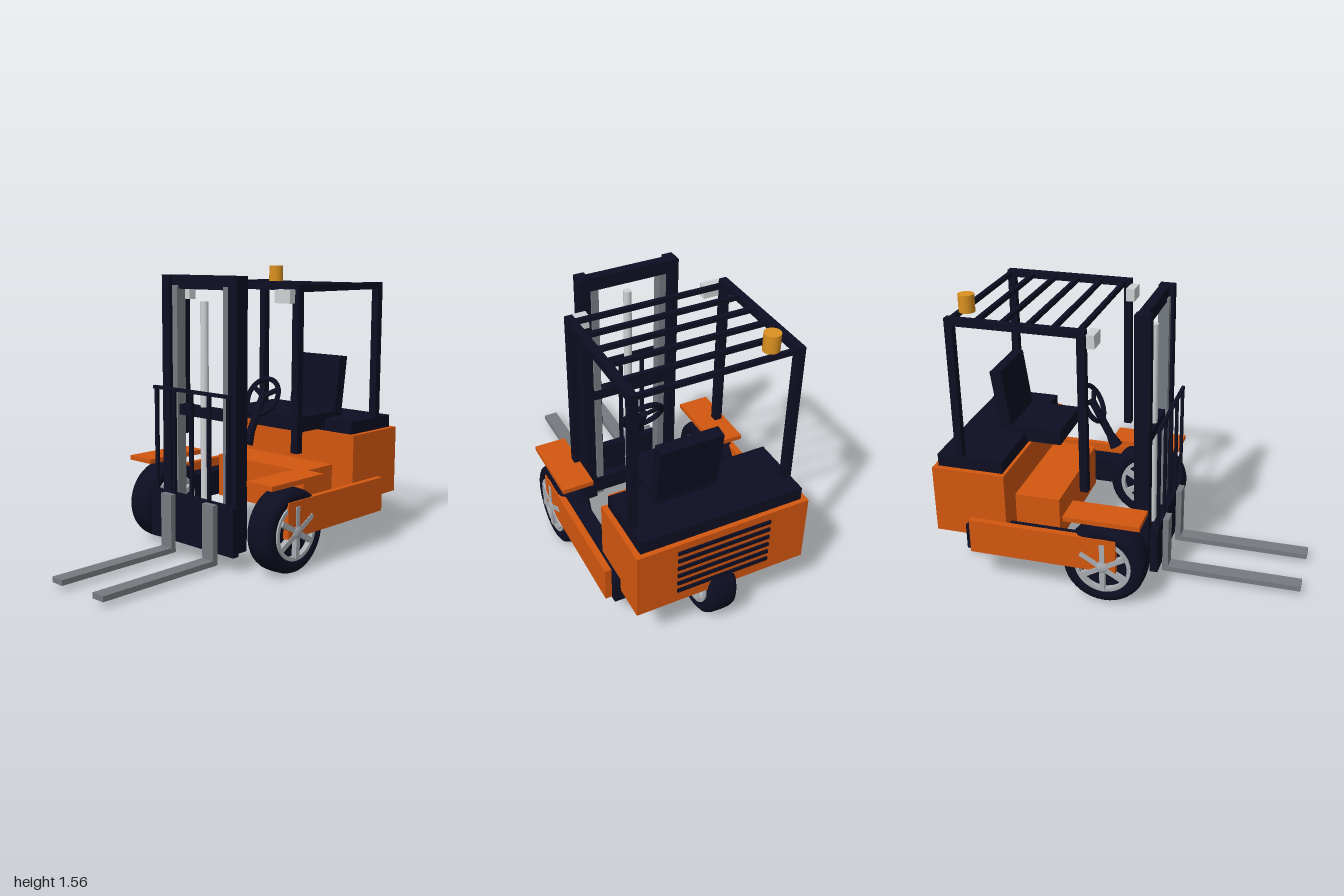
import * as THREE from 'three';
import { toCreasedNormals } from 'three/addons/utils/BufferGeometryUtils.js';

const mat = (name, color) => {
  const m = new THREE.MeshStandardMaterial({ color });
  m.name = name;
  return m;
};

export function createModel() {
  const model = new THREE.Group();
  model.name = 'forklift';
  const orange = mat('orange paint', 0xd4570f);
  const dark = mat('dark navy', 0x0e0e23);
  const steel = mat('fork steel', 0x767b80);
  const silver = mat('rim silver', 0xa9adb2);
  const pale = mat('pale grey', 0xcfd1d4);
  const amber = mat('amber', 0xdb9120);

  const add = (name, geo, material, parent = model) => {
    const m = new THREE.Mesh(geo, material);
    m.name = name;
    parent.add(m);
    return m;
  };
  // Box given by its minimum and maximum on each axis
  const box = (name, material, x0, x1, y0, y1, z0, z1, parent) => {
    const m = add(name, new THREE.BoxGeometry(x1 - x0, y1 - y0, z1 - z0), material, parent);
    m.position.set((x0 + x1) / 2, (y0 + y1) / 2, (z0 + z1) / 2);
    return m;
  };
  // The same box on both sides
  const pair = (name, material, x0, x1, ...rest) => {
    box(name + 'Left', material, x0, x1, ...rest);
    box(name + 'Right', material, -x1, -x0, ...rest);
  };

  // Chassis
  box('rearBody', orange, -0.472, 0.472, 0.265, 0.645, -0.955, -0.55);
  box('centreBody', orange, -0.326, 0.326, 0.215, 0.462, -0.75, -0.3);
  box('engineCover', dark, -0.442, 0.442, 0.645, 0.715, -0.93, -0.568);
  pair('sideArm', orange, 0.505, 0.54, 0.2, 0.392, -0.735, 0.072);
  pair('sill', dark, 0.4, 0.505, 0.195, 0.34, -0.77, -0.1);
  pair('fender', orange, 0.367, 0.54, 0.474, 0.5, -0.208, 0.2);
  for (let i = 0; i < 6; i++) {
    const y = 0.592 - i * 0.05;
    box('ventSlot', dark, -0.255, 0.255, y - 0.01, y + 0.01, -0.964, -0.955);
  }

  // Wheels
  const tyreProfile = [
    [0, -0.05], [0.15, -0.05], [0.152, -0.07], [0.172, -0.079], [0.198, -0.078], [0.215, -0.067],
    [0.223, -0.045], [0.225, 0], [0.223, 0.045], [0.215, 0.067], [0.198, 0.078], [0.172, 0.079],
    [0.152, 0.07], [0.15, 0.05], [0, 0.05],
  ].map(([r, y]) => new THREE.Vector2(r, y));
  const tyreGeo = toCreasedNormals(new THREE.LatheGeometry(tyreProfile, 40), 0.8);
  tyreGeo.rotateZ(Math.PI / 2);
  const rimProfile = [[0.132, -0.025], [0.152, -0.025], [0.152, 0.025], [0.132, 0.025], [0.132, -0.025]]
    .map(([r, y]) => new THREE.Vector2(r, y));
  const rimGeo = toCreasedNormals(new THREE.LatheGeometry(rimProfile, 40), 0.8);
  rimGeo.rotateZ(Math.PI / 2);

  const wheel = (name, x, y, z, radialScale) => {
    const g = new THREE.Group();
    g.name = name;
    add('tyre', tyreGeo, dark, g);
    for (const s of [-1, 1]) {
      add('rim', rimGeo, silver, g).position.x = s * 0.055;
      const hub = add('hub', new THREE.SphereGeometry(0.038, 20, 12), silver, g);
      hub.scale.x = 0.4;
      hub.position.x = s * 0.08;
      for (let i = 0; i < 6; i++) {
        const geo = new THREE.BoxGeometry(0.03, 0.125, 0.028);
        geo.translate(s * 0.074, 0.075, 0);
        add('spoke', geo, silver, g).rotation.x = (i * Math.PI) / 3;
      }
    }
    g.scale.set(1, radialScale, radialScale);
    g.position.set(x, y, z);
    model.add(g);
  };
  wheel('frontWheelLeft', 0.455, 0.225, 0, 1);
  wheel('frontWheelRight', -0.455, 0.225, 0, 1);
  wheel('rearWheel', 0, 0.205, -0.793, 0.911);

  // Seat, set off towards the left
  box('seatCushion', dark, -0.08, 0.255, 0.662, 0.745, -0.72, -0.37);
  const back = box('seatBack', dark, -0.08, 0.255, 0.712, 1.06, -0.74, -0.675);
  back.rotation.x = -0.14;

  // Steering column and wheel
  const steering = new THREE.Group();
  steering.name = 'steering';
  steering.position.set(0.087, 0.615, -0.1);
  steering.rotation.x = -0.485;
  model.add(steering);
  add('column', new THREE.CylinderGeometry(0.021, 0.023, 0.3, 20), dark, steering).position.y = 0.15;
  add('columnBase', new THREE.CylinderGeometry(0.023, 0.036, 0.07, 20), dark, steering).position.y = 0.035;
  add('steeringWheel', new THREE.TorusGeometry(0.105, 0.014, 12, 36), dark, steering).position.y = 0.276;
  for (let i = 0; i < 3; i++) {
    const geo = new THREE.BoxGeometry(0.024, 0.1, 0.014);
    geo.translate(0, 0.05, 0);
    const spoke = add('steeringSpoke', geo, dark, steering);
    spoke.position.y = 0.276;
    spoke.rotation.z = Math.PI + (i * Math.PI * 2) / 3;
  }

  // Overhead guard
  pair('guardFrontPost', dark, 0.402, 0.444, 0.605, 1.48, -0.142, -0.1);
  pair('guardRearPost', dark, 0.402, 0.444, 0.7, 1.48, -0.826, -0.785);
  pair('guardRail', dark, 0.402, 0.444, 1.442, 1.48, -0.826, -0.1);
  for (let i = 0; i < 6; i++) {
    const z = -0.14 - i * 0.1335;
    box('guardBar', dark, -0.41, 0.41, 1.449, 1.474, z - 0.011, z + 0.011);
  }
  pair('headlight', pale, 0.317, 0.42, 1.385, 1.455, -0.105, -0.058);
  add('beacon', new THREE.CylinderGeometry(0.042, 0.042, 0.093, 28), amber).position.set(-0.295, 1.518, -0.765);

  // Mast
  pair('mastUpright', dark, 0.22, 0.277, 0.09, 1.525, 0.1, 0.183);
  box('mastTopBar', dark, -0.277, 0.277, 1.452, 1.525, 0.106, 0.158);
  box('mastMiddleBar', dark, -0.22, 0.22, 0.775, 0.832, 0.106, 0.158);
  box('mastLowerBar', dark, -0.22, 0.22, 0.12, 0.22, 0.106, 0.158);
  pair('innerRail', steel, 0.172, 0.21, 0.1, 1.47, 0.11, 0.17);
  add('liftCylinder', new THREE.CylinderGeometry(0.022, 0.022, 1.27, 24), pale).position.set(0, 0.755, 0.135);

  // Carriage, load backrest and forks
  box('carriage', dark, -0.314, 0.314, 0.09, 0.353, 0.2, 0.242);
  box('backrestTopBar', dark, -0.29, 0.29, 0.914, 0.932, 0.224, 0.242);
  for (const x of [-0.27, -0.132, 0, 0.132, 0.27]) {
    box('backrestBar', dark, x - 0.01, x + 0.01, 0.34, 0.925, 0.225, 0.241);
  }
  pair('forkShank', steel, 0.12, 0.2, 0.03, 0.353, 0.242, 0.274);
  pair('forkTine', steel, 0.12, 0.2, 0.028, 0.057, 0.25, 1);

  return model;
}
